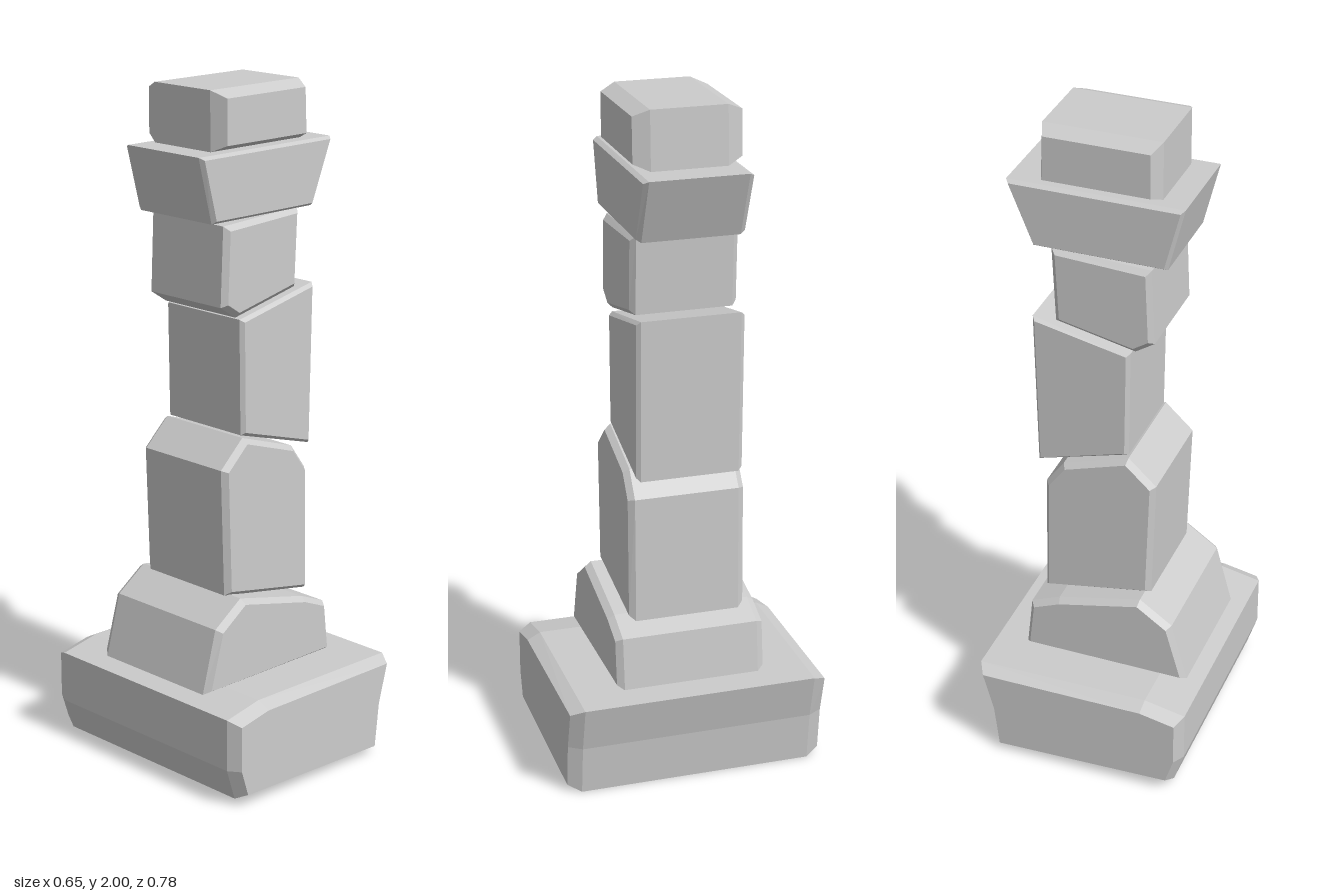
import * as THREE from 'three';

// Each stone: front outline, half depth, edge chamfer (inset across the face, run along z)
const STONES = [
  { name: 'baseStone', half: 0.39, inset: 0.02, run: 0.04,
    outline: [[-0.325, 0.27], [-0.2, 0.295], [0.325, 0.29], [0.29, 0.15], [0.273, 0.0], [-0.295, 0.02], [-0.325, 0.115]] },
  { name: 'footStone', half: 0.225, inset: 0.014, run: 0.02,
    outline: [[-0.28, 0.29], [-0.23, 0.475], [-0.13, 0.545], [0.125, 0.485], [0.215, 0.447], [0.232, 0.29]] },
  { name: 'lowerShaftStone', half: 0.174, inset: 0.014, run: 0.018,
    outline: [[-0.16, 0.925], [-0.075, 1.005], [0.125, 0.94], [0.18, 0.865], [0.185, 0.485], [-0.147, 0.545]] },
  { name: 'middleShaftStone', half: 0.158, inset: 0.01, run: 0.012,
    outline: [[-0.077, 1.35], [0.216, 1.412], [0.206, 0.93], [-0.072, 1.01]] },
  { name: 'upperShaftStone', half: 0.157, inset: 0.015, run: 0.015,
    outline: [[-0.137, 1.625], [0.157, 1.64], [0.147, 1.41], [-0.09, 1.358], [-0.147, 1.395]] },
  { name: 'capitalStone', half: 0.157, inset: 0.009, run: 0.014,
    outline: [[-0.231, 1.828], [0.286, 1.828], [0.21, 1.637], [-0.183, 1.637]] },
  { name: 'topStone', half: 0.157, inset: 0.02, run: 0.046,
    outline: [[-0.156, 2.0], [0.19, 2.0], [0.197, 1.83], [-0.156, 1.83]] },
];

// Extrudes the outline along z, chamfering the front and back edges inward
function makeStone({ name, half, inset, run, outline }, material) {
  const shape = new THREE.Shape(outline.map(([x, y]) => new THREE.Vector2(x, y)));
  const depth = 2 * (half - run);
  const geometry = new THREE.ExtrudeGeometry(shape, {
    depth,
    bevelEnabled: true,
    bevelSegments: 1,
    bevelSize: inset,
    bevelOffset: -inset,
    bevelThickness: run,
  });
  geometry.translate(0, 0, -depth / 2);
  const mesh = new THREE.Mesh(geometry, material);
  mesh.name = name;
  return mesh;
}

export function createModel() {
  const group = new THREE.Group();
  group.name = 'stackedStonePillar';
  const material = new THREE.MeshStandardMaterial({ color: 0xcccccc, flatShading: true });
  for (const stone of STONES) group.add(makeStone(stone, material));
  return group;
}
